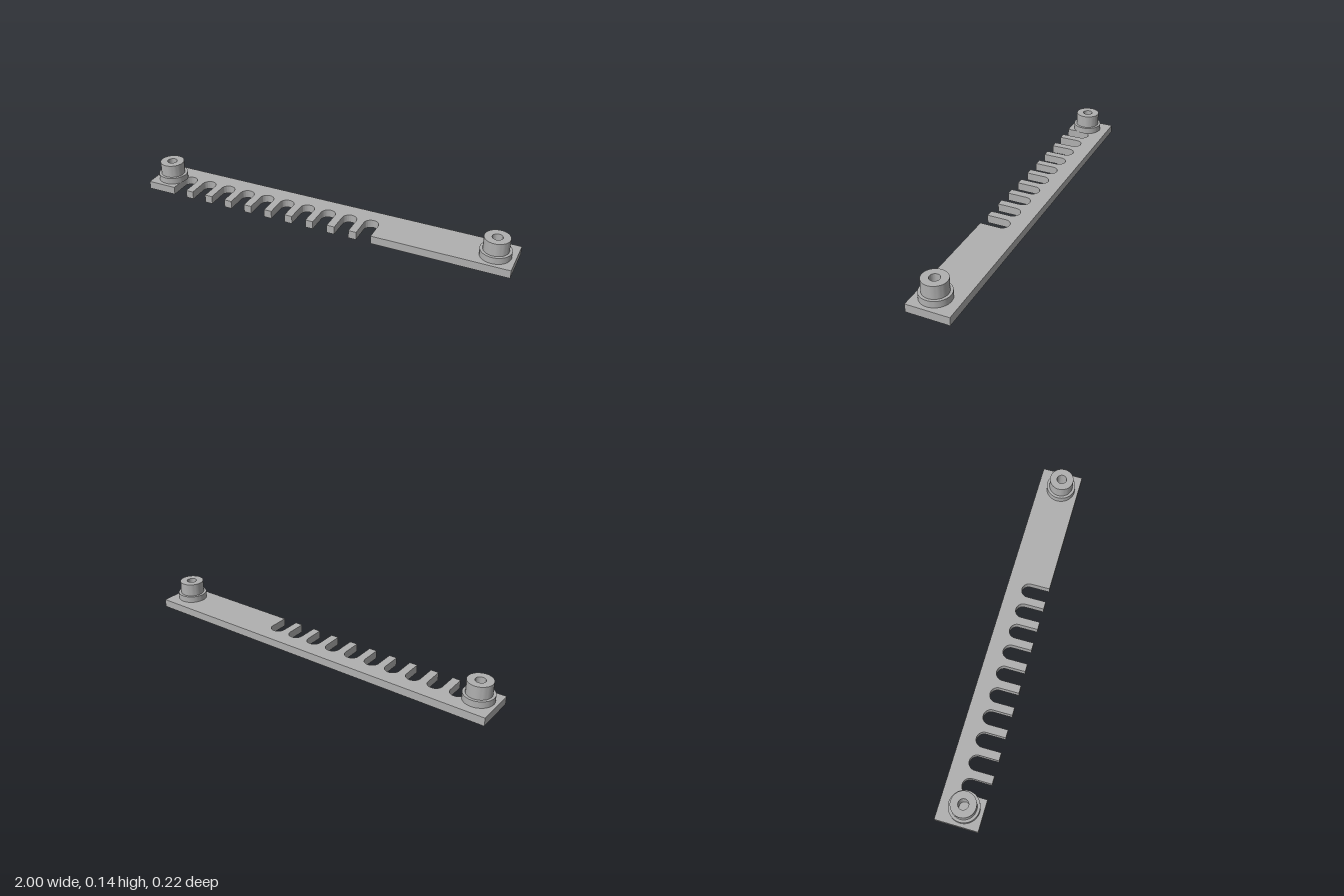
import * as THREE from 'three';
import { toCreasedNormals } from 'three/addons/utils/BufferGeometryUtils.js';

const THICK = 0.043, HALF_DEPTH = 0.11;

// Flat bar with a row of round-ended slots cut into its front edge
function combPlate() {
  const slots = 10, pitch = 0.1187, firstX = -0.803, r = 0.0385, arcZ = 0.0085;
  const s = new THREE.Shape();
  s.moveTo(-1, -HALF_DEPTH);
  s.lineTo(1, -HALF_DEPTH);
  s.lineTo(1, HALF_DEPTH);
  for (let i = slots - 1; i >= 0; i--) {
    const x = firstX + i * pitch;
    s.lineTo(x + r, HALF_DEPTH);
    s.lineTo(x + r, arcZ);
    s.absarc(x, arcZ, r, 0, Math.PI, true);
    s.lineTo(x - r, HALF_DEPTH);
  }
  s.lineTo(-1, HALF_DEPTH);
  s.closePath();
  const g = new THREE.ExtrudeGeometry(s, { depth: THICK, bevelEnabled: false, curveSegments: 20 });
  g.rotateX(Math.PI / 2).translate(0, THICK, 0);
  return toCreasedNormals(g, 0.5);
}

// Stepped round boss with a blind screw hole
function bossGeometry() {
  const profile = [
    [0, THICK], [0.0775, THICK], [0.0775, 0.077], [0.0635, 0.077],
    [0.0635, 0.145], [0.026, 0.145], [0.026, THICK + 0.002], [0, THICK + 0.002],
  ].map(([x, y]) => new THREE.Vector2(x, y));
  return toCreasedNormals(new THREE.LatheGeometry(profile, 48), 0.5);
}

export function createModel() {
  const grey = new THREE.MeshStandardMaterial({ color: 0xb0b0b0 });
  grey.name = 'grey';
  const model = new THREE.Group();
  model.name = 'slottedBracket';

  const plate = new THREE.Mesh(combPlate(), grey);
  plate.name = 'combPlate';
  model.add(plate);

  const boss = bossGeometry();
  for (const [name, x] of [['rightBoss', -0.906], ['leftBoss', 0.901]]) {
    const mesh = new THREE.Mesh(boss, grey);
    mesh.name = name;
    mesh.position.set(x, 0, 0.0135);
    model.add(mesh);
  }
  return model;
}
